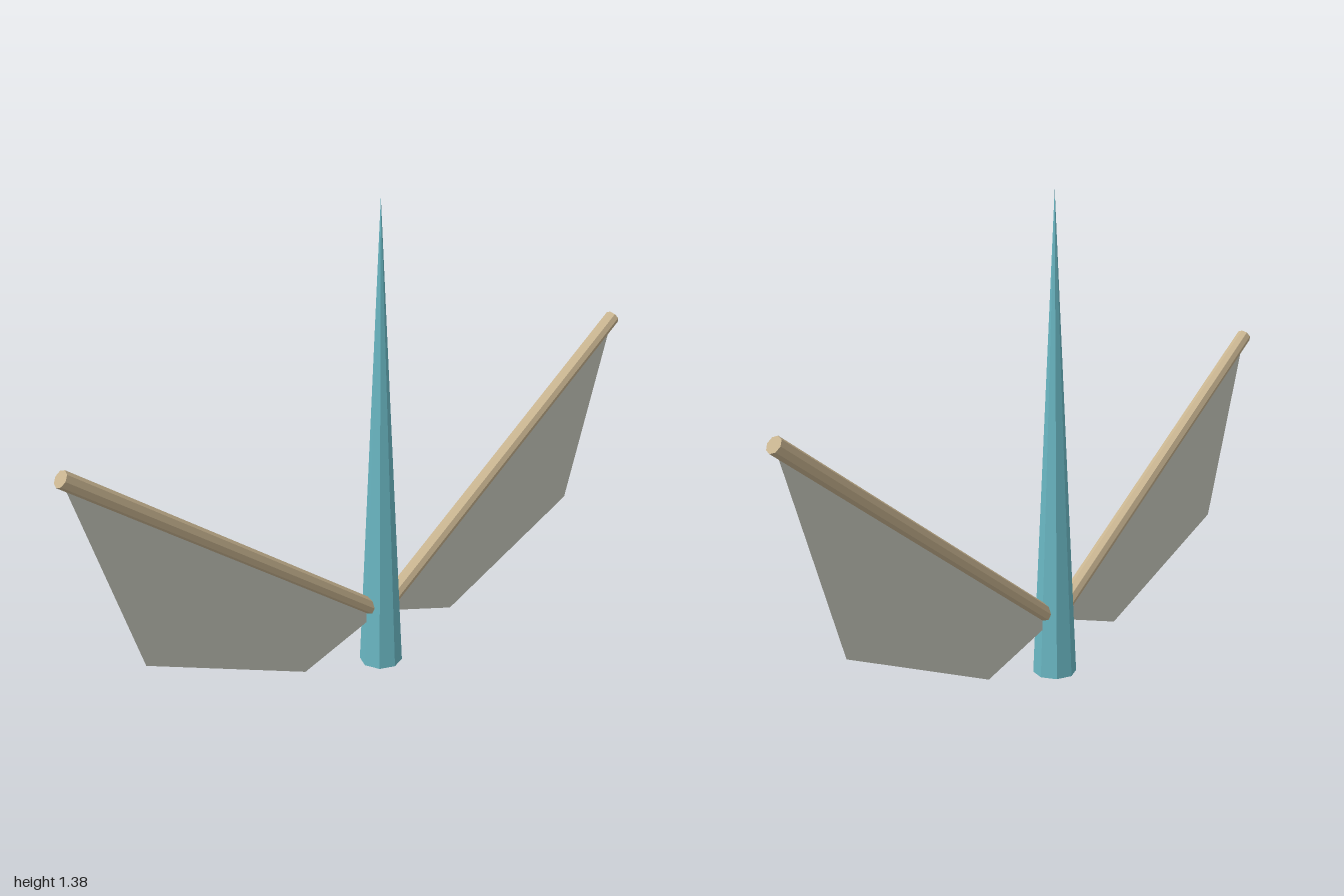
import * as THREE from 'three';

const teal = new THREE.MeshStandardMaterial({ color: 0x6ab7c3, flatShading: true });
const bone = new THREE.MeshStandardMaterial({ color: 0xc8b490, flatShading: true });
const membrane = new THREE.MeshStandardMaterial({ color: 0xc4c5ba, side: THREE.DoubleSide });
teal.name = 'teal';
bone.name = 'bone';
membrane.name = 'paleMembrane';

const ROOT = [0, 0.16];
const TIP = [0.987, 0.86];

// One wing: a slanted spar with a flat membrane hanging below it
function makeWing(side) {
  const wing = new THREE.Group();
  wing.name = side > 0 ? 'leftWing' : 'rightWing';

  const root = new THREE.Vector3(side * ROOT[0], ROOT[1], 0);
  const tip = new THREE.Vector3(side * TIP[0], TIP[1], 0);
  const along = tip.clone().sub(root);
  const spar = new THREE.Mesh(new THREE.CylinderGeometry(0.023, 0.023, along.length(), 8), bone);
  spar.name = 'wingSpar';
  spar.position.copy(root).add(tip).multiplyScalar(0.5);
  spar.quaternion.setFromUnitVectors(new THREE.Vector3(0, 1, 0), along.normalize());

  const outline = [ROOT, [0.285, 0.067], [0.797, 0.29], TIP];
  const shape = new THREE.Shape(outline.map(([x, y]) => new THREE.Vector2(side * x, y)));
  const sheet = new THREE.Mesh(new THREE.ShapeGeometry(shape), membrane);
  sheet.name = 'wingMembrane';

  wing.add(spar, sheet);
  return wing;
}

export function createModel() {
  const model = new THREE.Group();
  model.name = 'wingedSpike';

  // Tall eight-sided spike
  const height = 1.38;
  const body = new THREE.Mesh(new THREE.ConeGeometry(0.0625, height, 8), teal);
  body.name = 'spikeBody';
  body.position.y = height / 2;

  model.add(body, makeWing(1), makeWing(-1));
  return model;
}
